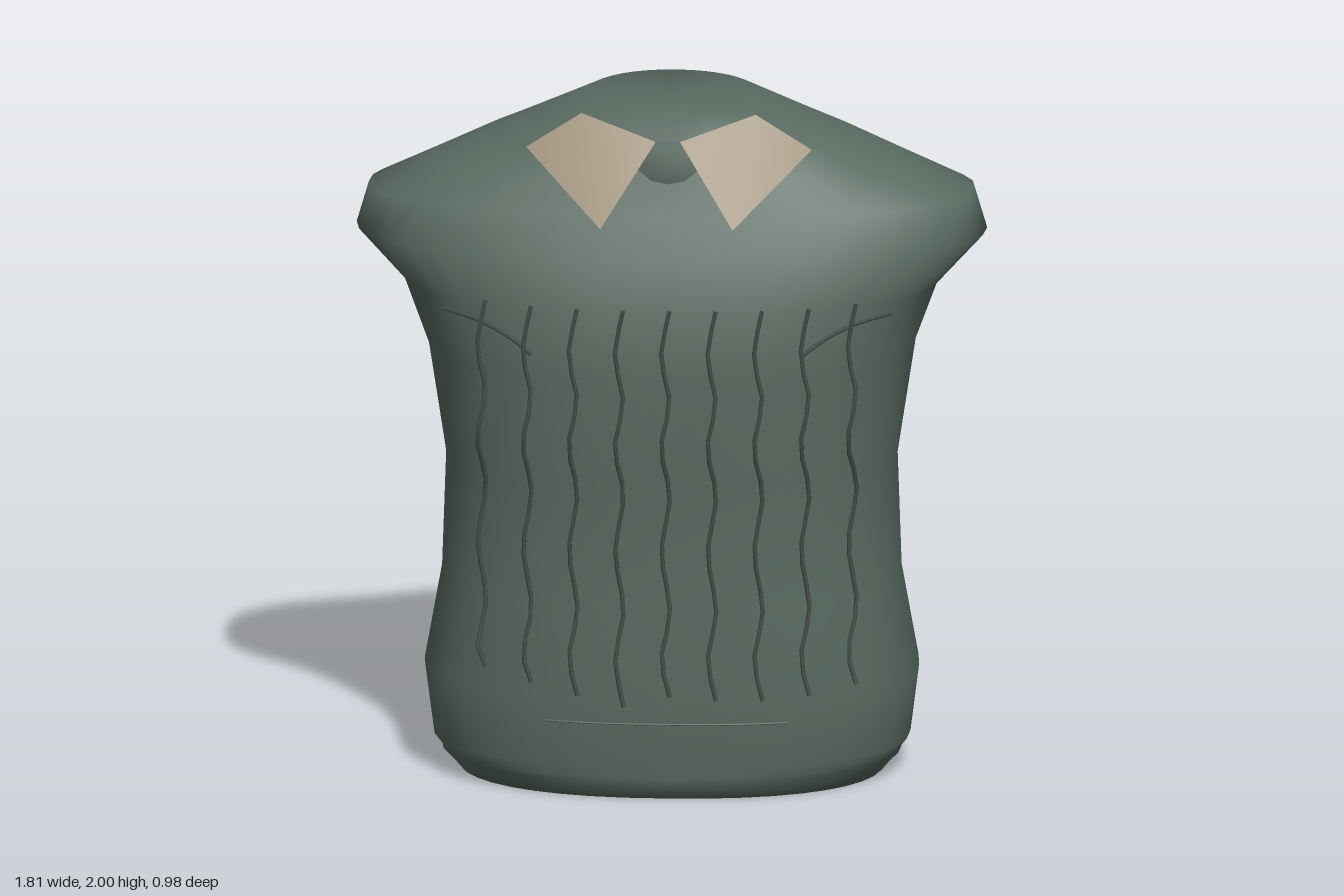
import * as THREE from 'three';

// Body cross-sections: height, half width, front depth, back depth, roundness exponent
const RINGS = [
  [0, 0.61, 0.40, 0.40, 2.3], [0.03, 0.635, 0.42, 0.42, 2.3],
  [0.055, 0.66, 0.43, 0.43, 2.3], [0.068, 0.66, 0.43, 0.43, 2.4],
  [0.1, 0.685, 0.435, 0.435, 2.4], [0.3, 0.71, 0.46, 0.46, 2.5],
  [0.58, 0.66, 0.445, 0.425, 2.5], [0.93, 0.648, 0.455, 0.44, 2.5],
  [1.27, 0.70, 0.483, 0.487, 2.5], [1.46, 0.77, 0.457, 0.457, 2.5],
  [1.6, 0.905, 0.408, 0.41, 2.3], [1.72, 0.87, 0.35, 0.355, 2.3],
  [1.8, 0.70, 0.315, 0.315, 2.2], [1.88, 0.525, 0.285, 0.285, 2.2],
  [1.92, 0.425, 0.265, 0.265, 2.2], [1.99, 0.25, 0.25, 0.25, 2.1],
];
const SEG = 40;

function ringAt(y) {
  let i = 0;
  while (i < RINGS.length - 2 && RINGS[i + 1][0] < y) i++;
  const t = THREE.MathUtils.clamp((y - RINGS[i][0]) / (RINGS[i + 1][0] - RINGS[i][0]), 0, 1);
  return RINGS[i].map((v, k) => THREE.MathUtils.lerp(v, RINGS[i + 1][k], t));
}

// Depth of the cloth surface at x, y; side is 1 for front, -1 for back
function surfaceZ(x, y, side = 1) {
  const [, w, front, back, n] = ringAt(y);
  const u = Math.min(1, Math.abs(x) / w);
  return side * (side > 0 ? front : back) * Math.pow(1 - Math.pow(u, n), 1 / n);
}

function ringPoint([y, w, front, back, n], j) {
  const a = (j / SEG) * Math.PI * 2, c = Math.cos(a), s = Math.sin(a);
  const p = (v) => Math.sign(v) * Math.pow(Math.abs(v), 2 / n);
  return [w * p(s), y, (c > 0 ? front : back) * p(c)];
}

// Smooth closed loft; the caps share the rim vertices so the shading rolls over
function bodyGeometry() {
  const pos = [], idx = [];
  for (const r of RINGS) for (let j = 0; j < SEG; j++) pos.push(...ringPoint(r, j));
  const last = (RINGS.length - 1) * SEG, bottom = last + SEG, top = bottom + 1;
  pos.push(0, 0, 0, 0, RINGS[RINGS.length - 1][0], 0);
  for (let j = 0; j < SEG; j++) {
    const k = (j + 1) % SEG;
    for (let i = 0; i < last; i += SEG) {
      const a = i + j, b = i + k, c = a + SEG, d = b + SEG;
      idx.push(a, b, d, a, d, c);
    }
    idx.push(bottom, k, j, top, last + j, last + k);
  }
  const g = new THREE.BufferGeometry();
  g.setAttribute('position', new THREE.Float32BufferAttribute(pos, 3));
  g.setIndex(idx);
  g.computeVertexNormals();
  return g;
}

export function createModel() {
  const model = new THREE.Group();
  model.name = 'shirtTorso';
  const cloth = new THREE.MeshStandardMaterial({ color: 0x596a61 });
  cloth.name = 'greyGreenCloth';
  const fold = new THREE.MeshStandardMaterial({ color: 0x424f48 });
  fold.name = 'darkFold';
  const tan = new THREE.MeshStandardMaterial({ color: 0xa89b84, side: THREE.DoubleSide });
  tan.name = 'tanCollar';

  const add = (name, geometry, material, parent = model) => {
    const mesh = new THREE.Mesh(geometry, material);
    mesh.name = name;
    parent.add(mesh);
  };
  const tube = (name, points, radius, material, parent) => {
    const curve = new THREE.CatmullRomCurve3(points);
    add(name, new THREE.TubeGeometry(curve, points.length * 2, radius, 6), material, parent);
  };

  add('body', bodyGeometry(), cloth);

  // Neck band, showing only where it rises out of the cloth at front and back
  const band = [[0.29, 1.77], [0.313, 1.8], [0.305, 1.88], [0.285, 1.92], [0.24, 1.92]];
  add('neckBand', new THREE.LatheGeometry(band.map(([r, y]) => new THREE.Vector2(r, y)), SEG), cloth);

  // Wavy vertical folds down the front; they hang straight above the waist
  const folds = new THREE.Group();
  folds.name = 'frontFolds';
  model.add(folds);
  const bends = [1.48, 1.34, 1.21, 1.07, 0.92, 0.75, 0.57, 0.43];
  const bottoms = [0.38, 0.35, 0.32, 0.29, 0.32, 0.31, 0.31, 0.32, 0.34];
  bottoms.forEach((bottom, i) => {
    const x0 = (i - 4) * 0.133;
    const lift = 0.005 + 0.02 * (x0 / 0.53) ** 2;
    const points = [...bends, bottom].map((y, k) => new THREE.Vector3(
      x0 + (k % 2 ? -0.012 : 0.012), y, surfaceZ(x0, y > 1 ? 1.27 : y) + lift));
    tube('fold', points, 0.007, fold, folds);
  });

  // Creases running from the chest to the armpits
  for (const s of [-1, 1]) {
    const path = [[0.385, 1.33], [0.45, 1.375], [0.53, 1.41], [0.64, 1.428]];
    tube('armpitCrease', path.map(([x, y]) =>
      new THREE.Vector3(s * x, y, surfaceZ(x, y) + 0.003)), 0.006, fold);
  }

  // Thin lower hem seams, front and back
  for (const side of [1, -1]) {
    const points = [];
    for (let k = -6; k <= 6; k++) {
      const x = (0.35 * k) / 6;
      points.push(new THREE.Vector3(x, 0.235, surfaceZ(x, 0.235, side)));
    }
    tube(side > 0 ? 'frontHemSeam' : 'backHemSeam', points, 0.003, cloth);
  }

  // Pointed collar flaps
  for (const s of [-1, 1]) {
    const corners = [[0.25, 2, 0.25], [0.035, 1.93, 0.3], [0.19, 1.7, 0.415], [0.41, 1.89, 0.225]];
    const g = new THREE.BufferGeometry();
    g.setAttribute('position', new THREE.Float32BufferAttribute(
      corners.flatMap(([x, y, z]) => [s * x, y, z]), 3));
    g.setIndex(s > 0 ? [0, 1, 2, 0, 2, 3] : [0, 2, 1, 0, 3, 2]);
    g.computeVertexNormals();
    add(s > 0 ? 'leftCollarFlap' : 'rightCollarFlap', g, tan);
  }

  return model;
}
